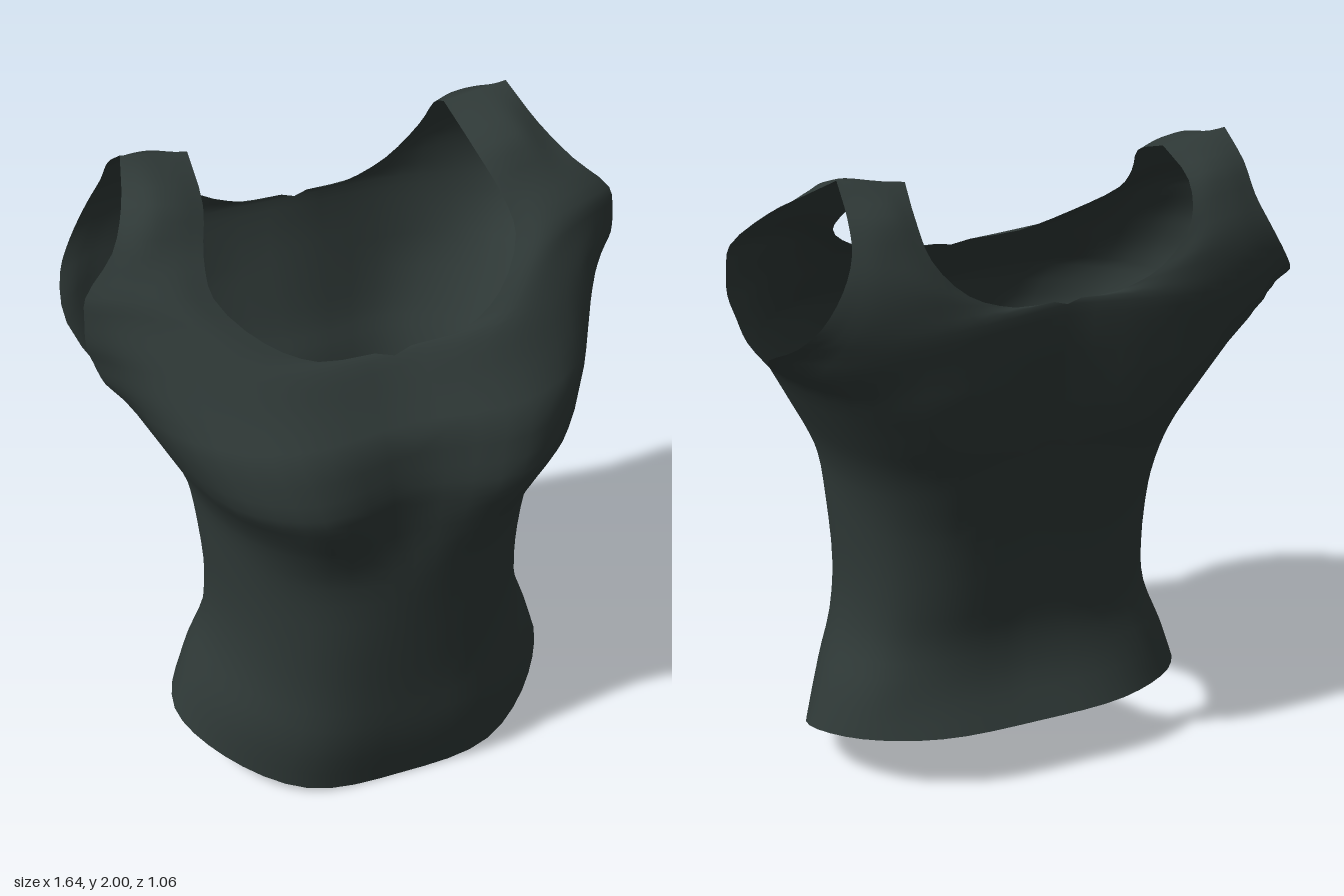
import * as THREE from 'three';
import { mergeVertices } from 'three/addons/utils/BufferGeometryUtils.js';

const SEG = 4;   // samples between neighbouring control points
const V = (p) => new THREE.Vector3(p[0], p[1], p[2]);

// Torso sections: height, half width, then z from front centre, round the side, to back centre
const TORSO = [
  [0.00, 0.62, 0.39, 0.365, 0.20, 0.00, -0.20, -0.32, -0.34],
  [0.20, 0.57, 0.425, 0.40, 0.24, 0.00, -0.19, -0.27, -0.275],
  [0.40, 0.515, 0.435, 0.40, 0.25, 0.02, -0.17, -0.25, -0.255],
  [0.62, 0.495, 0.45, 0.41, 0.26, 0.02, -0.18, -0.27, -0.275],
  [0.85, 0.51, 0.465, 0.42, 0.27, 0.02, -0.20, -0.31, -0.315],
  [1.00, 0.53, 0.465, 0.47, 0.30, 0.00, -0.24, -0.36, -0.355],
  [1.10, 0.565, 0.47, 0.51, 0.34, 0.00, -0.27, -0.395, -0.38],
  [1.20, 0.615, 0.475, 0.53, 0.38, -0.02, -0.31, -0.44, -0.42],
  [1.36, 0.705, 0.45, 0.48, 0.31, -0.04, -0.37, -0.49, -0.46],
];
const ACROSS = [0, 0.5, 0.85, 1, 0.85, 0.5, 0];         // share of the half width
const HEM = [0, 0.02, 0.09, 0.155, 0.19, 0.2, 0.2];     // hem rises towards the back

// Front yoke rows, neckline to armhole
const FRONT = [
  [[0, 1.45, 0.37], [0.35, 1.46, 0.385], [0.62, 1.46, 0.25], [0.77, 1.45, 0]],
  [[0, 1.54, 0.295], [0.35, 1.54, 0.32], [0.63, 1.54, 0.2], [0.8, 1.53, 0]],
  [[0.22, 1.56, 0.275], [0.42, 1.59, 0.26], [0.64, 1.6, 0.16], [0.82, 1.6, 0.01]],
  [[0.36, 1.62, 0.215], [0.5, 1.66, 0.18], [0.66, 1.68, 0.1], [0.82, 1.68, 0.01]],
  [[0.465, 1.72, 0.09], [0.56, 1.74, 0.09], [0.69, 1.75, 0.05], [0.81, 1.75, 0]],
  [[0.46, 1.8, 0], [0.54, 1.82, -0.01], [0.63, 1.83, -0.02], [0.71, 1.845, -0.05]],
  [[0.42, 1.9, -0.11], [0.5, 1.925, -0.1], [0.57, 1.935, -0.11], [0.645, 1.92, -0.16]],
  [[0.4, 1.97, -0.3], [0.47, 1.98, -0.3], [0.53, 1.99, -0.3], [0.6, 2, -0.3]],
];

// Back yoke rows, armhole to neckline
const BACK = [
  [[0.8, 1.5, -0.27], [0.65, 1.49, -0.44], [0.35, 1.5, -0.515], [0, 1.5, -0.49]],
  [[0.77, 1.58, -0.42], [0.62, 1.58, -0.49], [0.36, 1.6, -0.53], [0, 1.62, -0.505]],
  [[0.72, 1.65, -0.475], [0.58, 1.66, -0.51], [0.38, 1.66, -0.525], [0.16, 1.635, -0.505]],
  [[0.66, 1.75, -0.485], [0.55, 1.75, -0.505], [0.42, 1.73, -0.515], [0.3, 1.69, -0.505]],
  [[0.62, 1.84, -0.455], [0.55, 1.83, -0.475], [0.47, 1.82, -0.48], [0.4, 1.8, -0.48]],
  [[0.61, 1.925, -0.4], [0.54, 1.925, -0.42], [0.48, 1.92, -0.425], [0.42, 1.9, -0.42]],
  [[0.6, 2, -0.3], [0.53, 1.99, -0.3], [0.47, 1.98, -0.3], [0.4, 1.97, -0.3]],
];

// Half of a torso section, sampled from a smooth closed ring
function torsoRow([y, w, ...z]) {
  const half = z.map((d, i) =>
    new THREE.Vector3(ACROSS[i] * w, y + HEM[i] * Math.max(0, 1 - y / 0.62), d));
  const mirrored = half.slice(1, -1).reverse().map((p) => new THREE.Vector3(-p.x, p.y, p.z));
  const ring = new THREE.CatmullRomCurve3([...half, ...mirrored], true);
  return Array.from({ length: 6 * SEG + 1 }, (_, i) => ring.getPoint(i / (12 * SEG)));
}

// An open yoke row
const yokeRow = (points) => new THREE.CatmullRomCurve3(points.map(V)).getPoints(3 * SEG);

// Adds smooth in-between rows along every column
function smoothRows(rows, steps) {
  const columns = rows[0].map((_, j) =>
    new THREE.CatmullRomCurve3(rows.map((r) => r[j])).getPoints((rows.length - 1) * steps));
  return columns[0].map((_, i) => columns.map((c) => c[i]));
}

// Appends the triangles of a grid and of its mirror image
function addGrid(out, rows) {
  const tri = (a, b, c) => {
    for (const p of [a, b, c]) out.push(Math.max(0, p.x), p.y, p.z);
    for (const p of [a, c, b]) out.push(-Math.max(0, p.x), p.y, p.z);
  };
  for (let i = 0; i < rows.length - 1; i++) {
    for (let j = 0; j < rows[0].length - 1; j++) {
      const a = rows[i][j], b = rows[i][j + 1], c = rows[i + 1][j + 1], d = rows[i + 1][j];
      tri(a, b, c);
      tri(a, c, d);
    }
  }
}

export function createModel() {
  const group = new THREE.Group();
  group.name = 'sleevelessTop';
  const cloth = new THREE.MeshStandardMaterial({ color: 0x2f3937, side: THREE.DoubleSide });
  cloth.name = 'dark cloth';

  // Torso tube, then the front and back yokes that meet on the shoulders
  const torso = TORSO.map(torsoRow);
  const chest = torso[torso.length - 1];
  const positions = [];
  addGrid(positions, smoothRows(torso, 3));
  addGrid(positions, smoothRows([chest.slice(0, 3 * SEG + 1), ...FRONT.map(yokeRow)], 3));
  addGrid(positions, smoothRows([chest.slice(3 * SEG), ...BACK.map(yokeRow)], 3));

  // Weld the panels so the shading runs smoothly over the seams
  let geometry = new THREE.BufferGeometry();
  geometry.setAttribute('position', new THREE.Float32BufferAttribute(positions, 3));
  geometry = mergeVertices(geometry, 1e-4);
  geometry.computeVertexNormals();

  const garment = new THREE.Mesh(geometry, cloth);
  garment.name = 'bodiceWithStraps';
  group.add(garment);
  return group;
}
